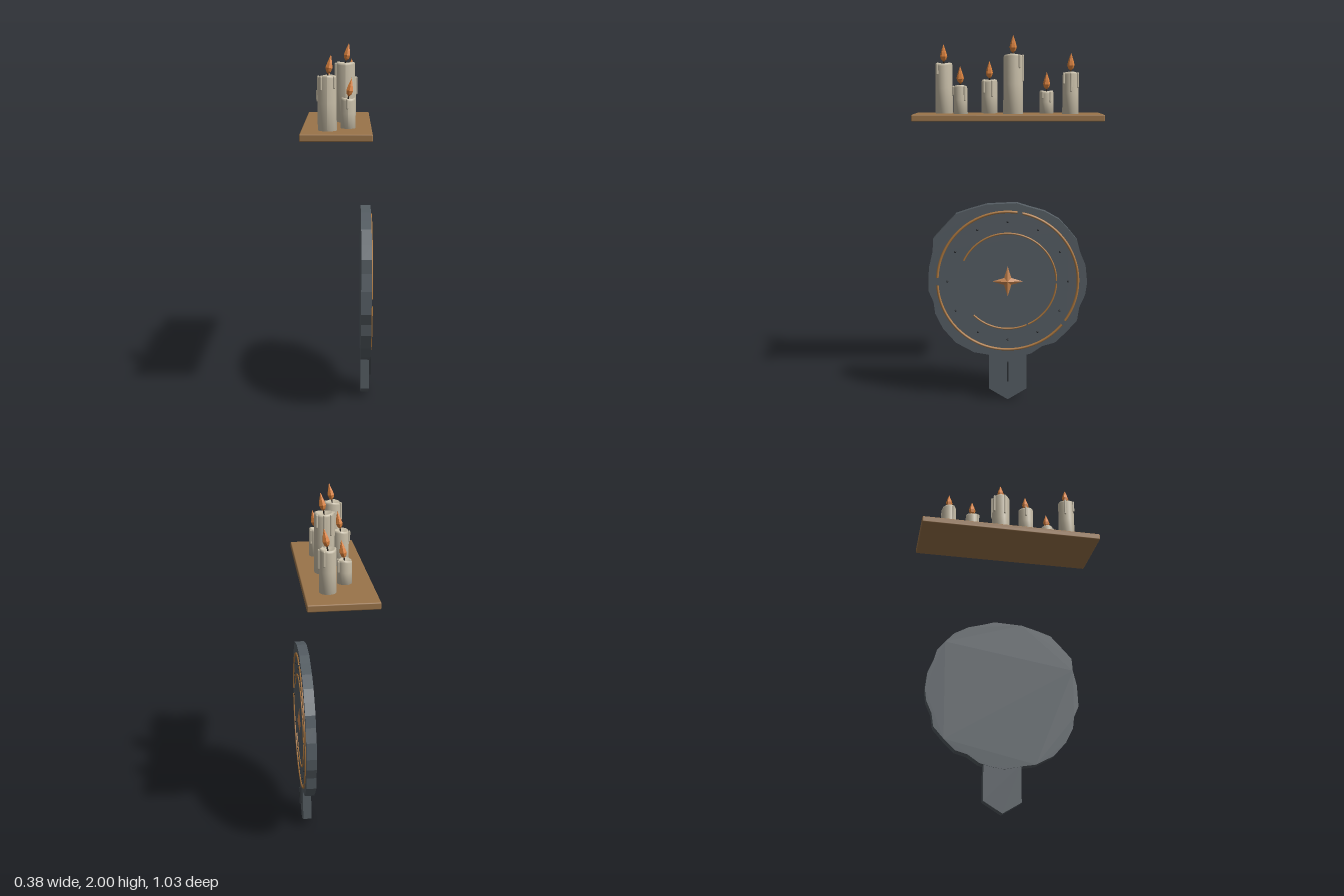
import * as THREE from 'three';
import { RoundedBoxGeometry } from 'three/addons/geometries/RoundedBoxGeometry.js';

const mat = (color, extra = {}) => new THREE.MeshStandardMaterial({ color, ...extra });
const WOOD = mat(0x9a744a);
const WAX = mat(0xc8bea8);
const WICK = mat(0x2a2420);
const FLAME = mat(0xe0853f, { flatShading: true });
const STONE = mat(0x555d63, { flatShading: true });
const DARK = mat(0x2b2f33);
const BRONZE = mat(0xb07a40, { side: THREE.DoubleSide });
const BRONZE_FLAT = mat(0xc98650, { flatShading: true });

const SHELF_TOP = 1.577;

function add(parent, name, geometry, material, x = 0, y = 0, z = 0) {
  const mesh = new THREE.Mesh(geometry, material);
  mesh.name = name;
  mesh.position.set(x, y, z);
  parent.add(mesh);
  return mesh;
}

function lathe(points, segments) {
  return new THREE.LatheGeometry(points.map(([r, y]) => new THREE.Vector2(r, y)), segments);
}

// Candle with a softened, slightly dished top, wax runs, wick and leaning flame
function createCandle(x, z, r, top, drips) {
  const candle = new THREE.Group();
  candle.name = 'candle';
  candle.position.set(x, SHELF_TOP, z);
  const h = top - SHELF_TOP;

  const body = lathe([
    [0, 0], [r, 0], [r * 0.98, h * 0.5], [r * 0.97, h - 0.012],
    [r * 0.9, h - 0.002], [r * 0.75, h], [r * 0.55, h - 0.008], [0, h - 0.012],
  ], 14);
  // Melted rim: a gentle wave around the top edge
  const p = body.attributes.position;
  for (let i = 0; i < p.count; i++) {
    if (p.getY(i) < h - 0.02) continue;
    const a = Math.atan2(p.getZ(i), p.getX(i));
    const edge = Math.hypot(p.getX(i), p.getZ(i)) / r;
    p.setY(i, p.getY(i) + 0.004 * edge * Math.sin(2 * a + x * 40));
  }
  body.computeVertexNormals();
  add(candle, 'candleBody', body, WAX);

  for (const [deg, length] of drips) {
    const a = THREE.MathUtils.degToRad(deg);
    const run = new THREE.CapsuleGeometry(0.0065, length, 3, 6);
    add(candle, 'waxDrip', run, WAX, Math.cos(a) * r, h - 0.008 - length / 2, Math.sin(a) * r);
  }

  const wick = add(candle, 'wick', new THREE.CylinderGeometry(0.003, 0.004, 0.035, 5), WICK, 0.002, h + 0.003, 0);
  wick.rotation.z = -0.15;
  const flame = add(candle, 'flame', lathe([
    [0, 0], [0.014, 0.014], [0.02, 0.032], [0.014, 0.056], [0.006, 0.08], [0, 0.098],
  ], 6), FLAME, 0.003, h + 0.006, 0);
  flame.rotation.z = -0.16;
  return candle;
}

// Four-pointed raised star, made by pulling in every other corner of a cone
function starGeometry(outer, inner, height) {
  const g = new THREE.ConeGeometry(outer, height, 8);
  const p = g.attributes.position;
  for (let i = 0; i < p.count; i++) {
    const k = Math.round(Math.atan2(p.getZ(i), p.getX(i)) / (Math.PI / 4));
    if (k % 2 !== 0) {
      p.setX(i, p.getX(i) * inner / outer);
      p.setZ(i, p.getZ(i) * inner / outer);
    }
  }
  return g.rotateX(Math.PI / 2);
}

// Round plaque, modelled facing +z and then turned to face +x
function createPlaque() {
  const plaque = new THREE.Group();
  plaque.name = 'plaque';
  plaque.rotation.y = Math.PI / 2;
  plaque.position.set(0.119, 0.675, 0);
  const FACE = 0.055;

  // Rough hewn outline
  const outline = [
    [0.05, 0.43], [0.11, 0.41], [0.2, 0.385], [0.28, 0.34], [0.33, 0.285], [0.375, 0.23],
    [0.392, 0.165], [0.423, 0.09], [0.433, -0.005], [0.423, -0.075], [0.392, -0.145],
    [0.38, -0.22], [0.322, -0.285], [0.26, -0.345], [0.19, -0.365], [0.127, -0.408],
    [0.06, -0.425], [-0.01, -0.435], [-0.11, -0.413], [-0.185, -0.4], [-0.285, -0.345],
    [-0.355, -0.265], [-0.397, -0.18], [-0.405, -0.115], [-0.433, -0.05], [-0.428, 0.075],
    [-0.407, 0.165], [-0.402, 0.238], [-0.344, 0.302], [-0.28, 0.37], [-0.2, 0.397],
    [-0.11, 0.423],
  ].map(([x, y]) => new THREE.Vector2(x, y));
  add(plaque, 'disc', new THREE.ExtrudeGeometry(new THREE.Shape(outline),
    { depth: FACE, bevelEnabled: false }), STONE);

  // Pointed stem below the disc
  const stem = new THREE.Shape([
    [-0.104, -0.4], [-0.104, -0.61], [0, -0.673], [0.104, -0.61], [0.104, -0.4],
  ].map(([x, y]) => new THREE.Vector2(x, y)));
  add(plaque, 'stem', new THREE.ExtrudeGeometry(stem, { depth: 0.048, bevelEnabled: false }), STONE, 0, 0, 0.003);
  add(plaque, 'stemGroove', new THREE.BoxGeometry(0.008, 0.11, 0.016), DARK, 0, -0.51, 0.057);

  // Broken inlay rings: radius, start and end angle in degrees
  const arcs = [
    [0.383, 82, 177], [0.383, 183, 321], [0.383, 325, 438],
    [0.265, 1, 154], [0.265, -65, -2], [0.265, -135, -67],
  ];
  for (const [r, from, to] of arcs) {
    const ring = add(plaque, 'inlayRing', new THREE.TorusGeometry(r, r > 0.3 ? 0.007 : 0.005, 6, 36,
      THREE.MathUtils.degToRad(to - from)), BRONZE, 0, 0, FACE + 0.001);
    ring.rotation.z = THREE.MathUtils.degToRad(from);
  }

  // Twelve small studs between the rings
  for (let i = 0; i < 12; i++) {
    const a = i * Math.PI / 6;
    add(plaque, 'stud', new THREE.SphereGeometry(0.006, 8, 6), DARK,
      Math.cos(a) * 0.328, Math.sin(a) * 0.328, FACE);
  }

  add(plaque, 'star', starGeometry(0.09, 0.03, 0.014), BRONZE_FLAT, 0, 0, FACE + 0.006);
  return plaque;
}

export function createModel() {
  const model = new THREE.Group();
  model.name = 'candleShelfAndPlaque';

  add(model, 'shelf', new RoundedBoxGeometry(0.36, 0.037, 1.027, 2, 0.006), WOOD, -0.01, 1.5585, -0.002);

  // x, z, radius, top height, wax runs as [angle, length]
  const candles = [
    [-0.055, 0.35, 0.048, 1.85, [[130, 0.06], [45, 0.05], [200, 0.09]]],
    [0.048, 0.255, 0.039, 1.73, [[95, 0.04], [-40, 0.07]]],
    [-0.07, 0.1, 0.045, 1.76, [[40, 0.06], [-20, 0.08], [190, 0.05]]],
    [0.033, -0.03, 0.054, 1.895, [[-85, 0.13], [-125, 0.1], [-40, 0.06], [165, 0.12]]],
    [-0.05, -0.215, 0.039, 1.7, [[-30, 0.05], [125, 0.06], [35, 0.03]]],
    [0.05, -0.34, 0.044, 1.8, [[0, 0.09], [60, 0.05], [-60, 0.07], [150, 0.1]]],
  ];
  for (const c of candles) model.add(createCandle(...c));

  model.add(createPlaque());
  return model;
}
